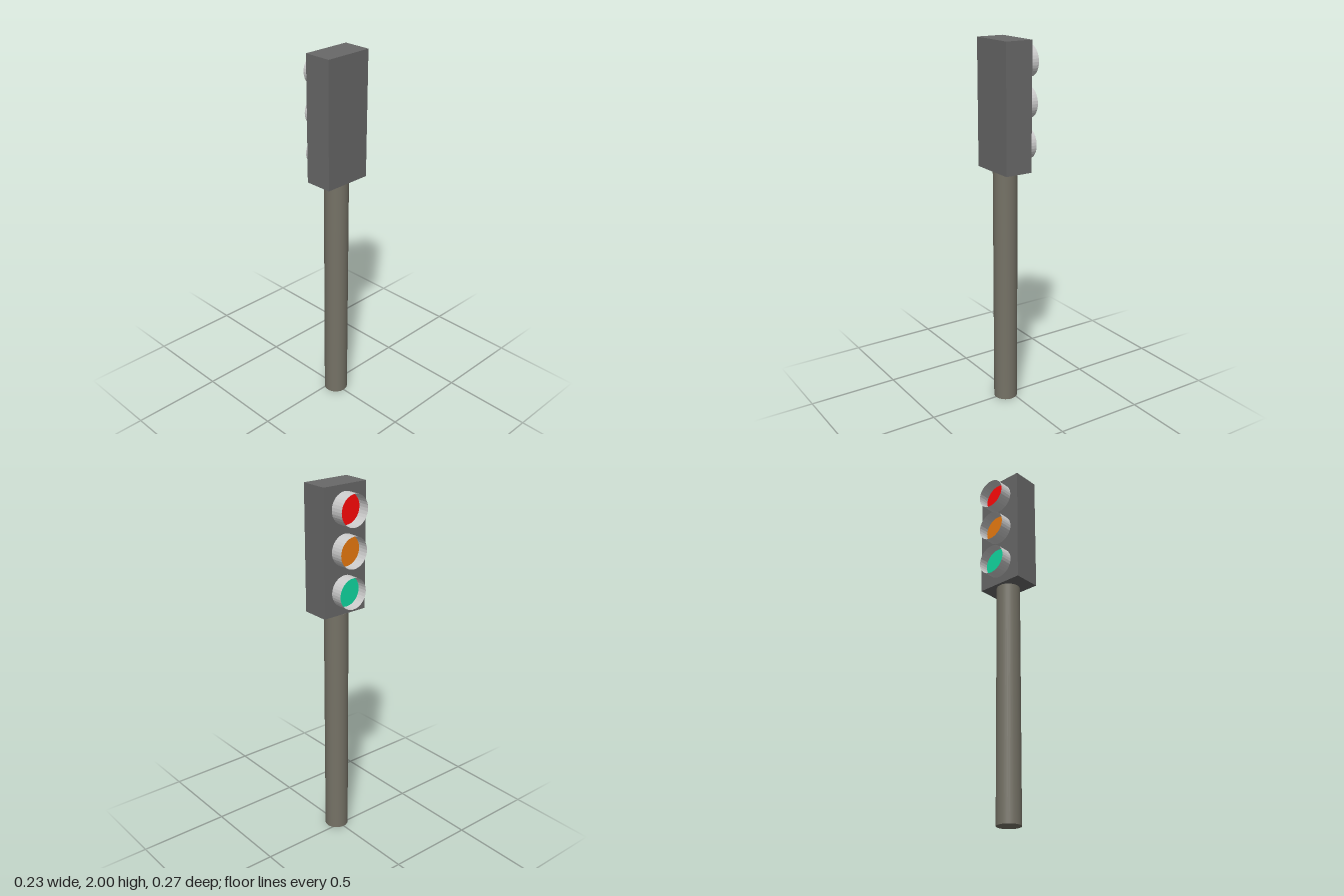
import * as THREE from 'three';

export function createModel() {
  const model = new THREE.Group();
  model.name = 'trafficLight';

  const add = (name, geometry, color, options = {}) => {
    const mesh = new THREE.Mesh(geometry, new THREE.MeshStandardMaterial({ color, ...options }));
    mesh.name = name;
    model.add(mesh);
    return mesh;
  };

  // Round post, just short of the housing
  add('post', new THREE.CylinderGeometry(0.065, 0.065, 1.32, 32), 0x757266)
    .position.set(0.033, 0.66, 0);

  // Signal housing
  add('housing', new THREE.BoxGeometry(0.154, 0.674, 0.27), 0x686868)
    .position.set(0.037, 1.663, -0.001);

  // Three lamps facing -x: an open visor tube around a recessed lens
  const face = -0.04;
  const lamps = [
    { name: 'red', y: 1.881, tip: -0.116, color: 0xff0808 },
    { name: 'amber', y: 1.668, tip: -0.112, color: 0xe87a10 },
    { name: 'green', y: 1.452, tip: -0.107, color: 0x10d8a0 },
  ];
  for (const { name, y, tip, color } of lamps) {
    const visor = new THREE.CylinderGeometry(0.084, 0.084, face - tip, 32, 1, true);
    visor.rotateZ(Math.PI / 2);
    add(name + 'Visor', visor, 0xcccccc, { flatShading: true, side: THREE.DoubleSide })
      .position.set((face + tip) / 2, y, -0.002);

    const lens = new THREE.CylinderGeometry(0.082, 0.082, 0.013, 32);
    lens.rotateZ(Math.PI / 2);
    add(name + 'Lens', lens, color).position.set(face - 0.0065, y, -0.002);
  }

  return model;
}
